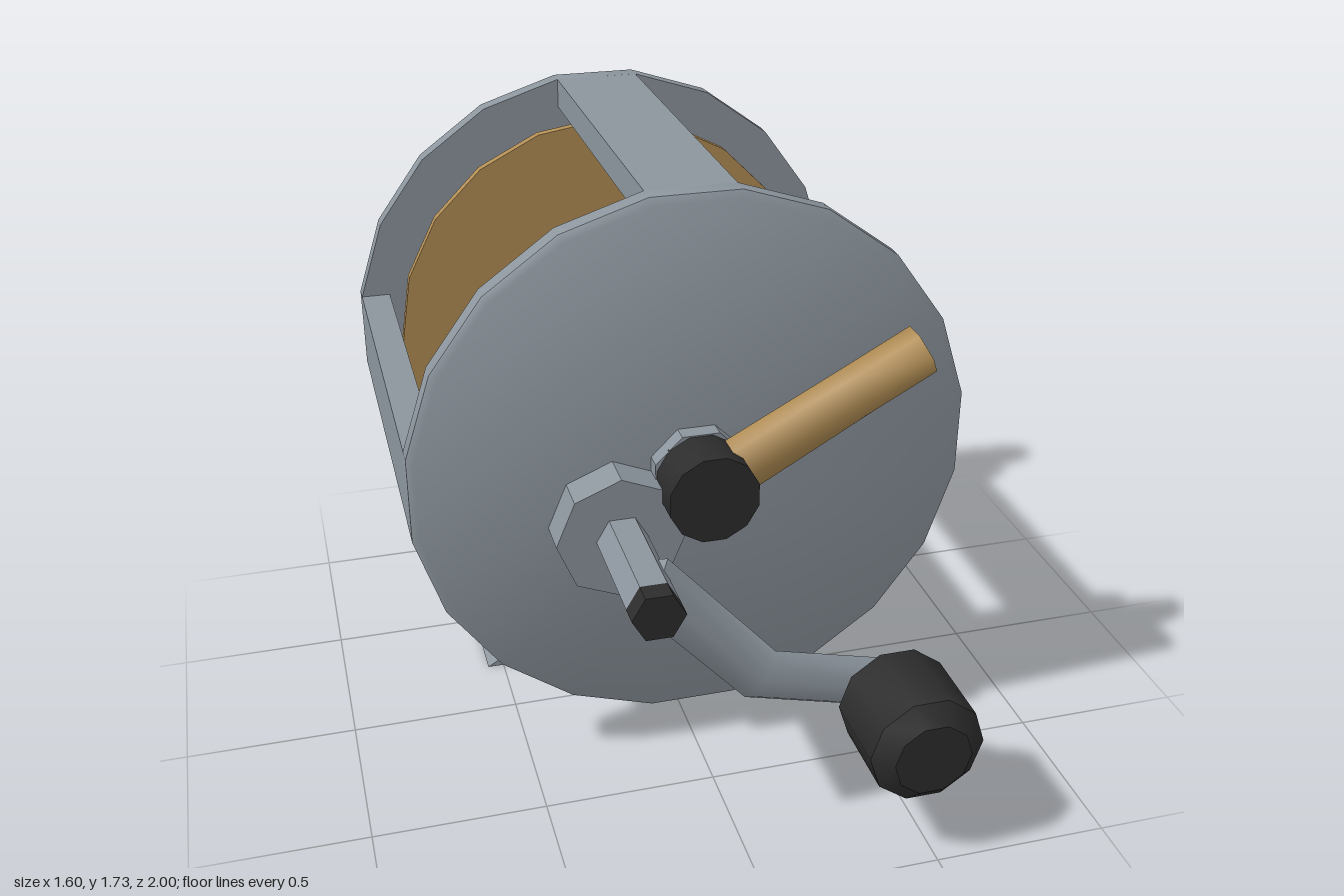
import * as THREE from 'three';
import { toCreasedNormals } from 'three/addons/utils/BufferGeometryUtils.js';

const material = (name, color) => {
  const m = new THREE.MeshStandardMaterial({ color });
  m.name = name;
  return m;
};

// Solid of revolution about z; profile is [radius, z] from back to front
function turned(profile, sides, x, y, turn = 0, crease = 0.7) {
  const pts = profile.map(([r, z]) => new THREE.Vector2(r, z));
  const g = new THREE.LatheGeometry(pts, sides, turn);
  g.rotateX(Math.PI / 2);
  g.translate(x, y, 0);
  return toCreasedNormals(g, crease);
}

const rod = (r, z0, z1, sides, x, y, turn, crease) =>
  turned([[0, z0], [r, z0], [r, z1], [0, z1]], sides, x, y, turn, crease);

// Bent arm: stations are [x, y, z, half width, half thickness]
function bentArm(stations, sides, turn) {
  const pos = [], index = [], n = stations.length;
  stations.forEach(([x, y, z, w, t], i) => {
    const a = stations[Math.max(i - 1, 0)], b = stations[Math.min(i + 1, n - 1)];
    const d = new THREE.Vector2(b[0] - a[0], b[1] - a[1]).normalize();
    for (let j = 0; j < sides; j++) {
      const q = turn + (j / sides) * Math.PI * 2;
      const c = Math.cos(q) * w;
      pos.push(x - d.y * c, y + d.x * c, z + Math.sin(q) * t);
    }
  });
  for (let i = 0; i < n - 1; i++) {
    for (let j = 0; j < sides; j++) {
      const k = (j + 1) % sides, a = i * sides, b = a + sides;
      index.push(a + j, a + k, b + k, a + j, b + k, b + j);
    }
  }
  const last = (n - 1) * sides;
  for (let j = 1; j < sides - 1; j++) {
    index.push(0, j + 1, j, last, last + j, last + j + 1);
  }
  const g = new THREE.BufferGeometry();
  g.setAttribute('position', new THREE.Float32BufferAttribute(pos, 3));
  g.setIndex(index);
  return toCreasedNormals(g, 1.1);
}

function extruded(points, depth) {
  const shape = new THREE.Shape(points.map(([x, y]) => new THREE.Vector2(x, y)));
  return new THREE.ExtrudeGeometry(shape, { depth, bevelEnabled: false });
}

export function createModel() {
  const group = new THREE.Group();
  group.name = 'fishingReel';
  const steel = material('steel grey', 0x8c959d);
  const brass = material('brass tan', 0xb18d54);
  const black = material('black grip', 0x2c2c2c);

  const add = (name, geometry, mat) => {
    const mesh = new THREE.Mesh(geometry, mat);
    mesh.name = name;
    group.add(mesh);
    return mesh;
  };

  const CY = 0.93;                 // main axis height
  const half = Math.PI / 20;

  // Side plates with a chamfered outer rim
  add('frontPlate', turned([[0, 0.22], [0.81, 0.22], [0.81, 0.275], [0.79, 0.29], [0, 0.29]], 20, 0, CY, half), steel);
  add('backPlate', turned([[0, -0.96], [0.79, -0.96], [0.81, -0.945], [0.81, -0.89], [0, -0.89]], 20, 0, CY, half), steel);

  // Frame bars joining the plates
  const bar = (name, w, h, x, y) => {
    add(name, new THREE.BoxGeometry(w, h, 1.11), steel).position.set(x, y, -0.335);
  };
  bar('topBar', 0.255, 0.09, 0, 1.685);
  bar('sideBar', 0.09, 0.255, -0.755, CY);

  // Bottom bar narrowing to the foot, flaring slightly sideways
  const mount = extruded([[-0.22, 0.22], [-0.22, 0.13], [0.22, 0.06], [0.44, 0.06], [0.89, 0.13], [0.89, 0.22]], 0.255);
  mount.rotateY(Math.PI / 2);
  mount.translate(-0.1275, 0, 0);
  const p = mount.attributes.position;
  for (let i = 0; i < p.count; i++) {
    if (p.getY(i) < 0.1) p.setX(i, p.getX(i) * 1.15);
  }
  mount.computeVertexNormals();
  add('bottomBar', mount, steel);

  // Rod foot
  const foot = extruded([[-0.55, 0], [0.55, 0], [0.5, 0.03], [0.15, 0.06], [-0.15, 0.06], [-0.5, 0.03]], 0.22);
  foot.translate(0, 0, -0.44);
  add('foot', foot, steel);

  // Spool
  add('spoolCore', rod(0.275, -0.81, 0.14, 24, 0, CY), brass);
  add('frontFlange', rod(0.685, 0.13, 0.16, 20, 0, CY), brass);
  add('backFlange', rod(0.685, -0.83, -0.80, 20, 0, CY), brass);
  add('mainShaft', rod(0.14, -1, 0.34, 8, 0, CY, Math.PI / 8), steel);

  // Drag knob and lever
  add('dragKnob', rod(0.13, 0.33, 0.48, 12, 0, CY, Math.PI / 12), black);
  add('dragLever', bentArm([
    [0.06, 0.955, 0.383, 0.08, 0.073],
    [0.43, 1.155, 0.375, 0.073, 0.073],
    [0.625, 1.258, 0.37, 0.073, 0.073],
  ], 6, Math.PI / 6), brass);

  // Gear housing and crank shaft
  const GX = -0.24, GY = 0.8;
  add('gearHousing', rod(0.185, 0.28, 0.4, 8, GX, GY), steel);
  add('crankShaft', rod(0.073, -0.56, 0.74, 6, GX, GY, Math.PI / 6), steel);
  add('crankShaftCap', rod(0.073, 0.74, 0.8, 6, GX, GY, Math.PI / 6), black);

  // Crank arm and grip
  add('crankArm', bentArm([
    [-0.225, 0.79, 0.6, 0.082, 0.04],
    [0.09, 0.45, 0.635, 0.082, 0.042],
    [0.48, 0.365, 0.66, 0.08, 0.042],
  ], 8, 0), steel);
  add('gripPin', rod(0.05, 0.64, 0.7, 6, 0.46, 0.355), steel);
  add('crankGrip', turned([
    [0, 0.67], [0.115, 0.67], [0.163, 0.715], [0.163, 0.955], [0.11, 1], [0, 1],
  ], 10, 0.46, 0.355, Math.PI / 10), black);

  return group;
}
